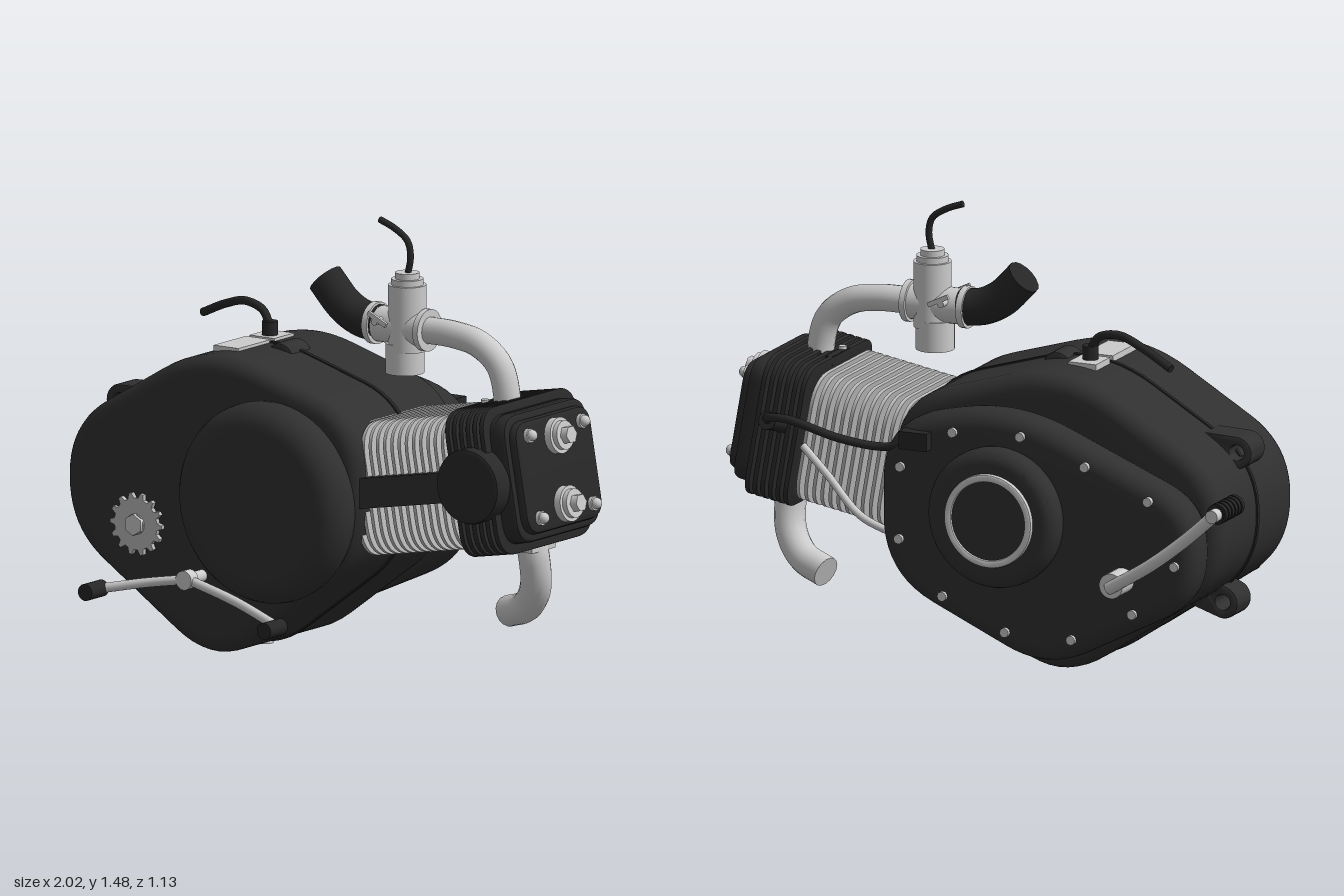
import * as THREE from 'three';
import { toCreasedNormals, mergeGeometries } from 'three/addons/utils/BufferGeometryUtils.js';

const V = (p) => new THREE.Vector3(...p);

// Polygon with rounded corners, points are [x, y, cornerLength]
function roundedShape(pts) {
  const s = new THREE.Shape();
  pts.forEach(([x, y, r], i) => {
    const c = new THREE.Vector2(x, y);
    const toward = (q) => c.clone().add(new THREE.Vector2(q[0], q[1]).sub(c).setLength(r));
    const a = toward(pts[(i + pts.length - 1) % pts.length]);
    const b = toward(pts[(i + 1) % pts.length]);
    if (i) s.lineTo(a.x, a.y); else s.moveTo(a.x, a.y);
    s.quadraticCurveTo(x, y, b.x, b.y);
  });
  s.closePath();
  return s;
}
const box2 = (w, h, r) => roundedShape([[-w, -h, r], [w, -h, r], [w, h, r], [-w, h, r]]);
function disc(r, x = 0, y = 0) {
  const s = new THREE.Shape();
  s.absarc(x, y, r, 0, Math.PI * 2);
  return s;
}
// Extrusion from z0 to z1 whose rounded edge stays inside the outline
function slabGeo(shape, z0, z1, bevel, seg = 10) {
  const g = new THREE.ExtrudeGeometry(shape, {
    depth: z1 - z0 - 2 * bevel, bevelEnabled: bevel > 0, bevelSize: bevel, bevelThickness: bevel,
    bevelOffset: -bevel, bevelSegments: bevel > 0.03 ? 6 : 2, curveSegments: seg,
  });
  g.translate(0, 0, z0 + bevel);
  return toCreasedNormals(g, 0.6);
}
// Tube along a smooth path with closed ends
function tubeGeo(points, r, seg = 28) {
  const curve = new THREE.CatmullRomCurve3(points.map(V));
  const parts = [new THREE.TubeGeometry(curve, seg, r, 16)];
  [0, 1].forEach((t) => {
    const dir = curve.getTangent(t).multiplyScalar(t ? 1 : -1);
    const cap = new THREE.CircleGeometry(r, 16);
    cap.applyQuaternion(new THREE.Quaternion().setFromUnitVectors(V([0, 0, 1]), dir));
    const p = curve.getPoint(t);
    parts.push(cap.translate(p.x, p.y, p.z));
  });
  return mergeGeometries(parts);
}

export function createModel() {
  const root = new THREE.Group();
  root.name = 'engine';
  const mat = (name, color) => Object.assign(new THREE.MeshStandardMaterial({ color }), { name });
  const paint = mat('dark casing', 0x303030);
  const black = mat('black head', 0x292929);
  const rubber = mat('rubber', 0x262626);
  const metal = mat('light metal', 0xcccccc);
  const finMetal = mat('fin metal', 0xbababa);

  const add = (name, geo, m, parent = root) => {
    const mesh = new THREE.Mesh(geo, m);
    mesh.name = name;
    parent.add(mesh);
    return mesh;
  };
  const slab = (name, shape, z0, z1, bevel, m, parent, seg) => add(name, slabGeo(shape, z0, z1, bevel, seg), m, parent);
  const tube = (name, pts, r, m, parent) => add(name, tubeGeo(pts, r), m, parent);
  const cyl = (name, r, len, axis, [x, y, z], m, parent, sides = 24) => {
    const g = new THREE.CylinderGeometry(r, r, len, sides);
    if (axis === 'x') g.rotateZ(-Math.PI / 2);
    if (axis === 'z') g.rotateX(Math.PI / 2);
    return add(name, g.translate(x, y, z), m, parent);
  };
  const box = (name, w, h, d, [x, y, z], m, parent) =>
    add(name, new THREE.BoxGeometry(w, h, d).translate(x, y, z), m, parent);

  // Crankcase and the seam around its middle
  const casePts = [[-0.86, 0.36, 0.17], [-0.26, -0.045, 0.2], [0.325, 0.39, 0.2],
    [0.325, 0.86, 0.2], [-0.3, 1.045, 0.22], [-0.86, 0.71, 0.17]];
  slab('crankcase', roundedShape(casePts), -0.28, 0.31, 0.055, paint);
  const seamPts = casePts.map(([x, y, r]) => [-0.27 + (x + 0.27) * 1.01, 0.52 + (y - 0.52) * 1.01, r]);
  slab('caseSeam', roundedShape(seamPts), 0.003, 0.017, 0, rubber);
  cyl('drainPlug', 0.026, 0.035, 'y', [-0.26, 0.0175, 0.01], metal, root, 6);

  // Round clutch cover on the front
  slab('clutchCover', disc(0.335, -0.02, 0.552), 0.25, 0.42, 0.085, paint, root, 56);

  // Rear side cover with its bolts
  const coverPts = [[0.31, 0.3, 0.2], [0.31, 0.82, 0.2], [-0.15, 0.92, 0.2], [-0.83, 0.64, 0.15],
    [-0.83, 0.32, 0.15], [-0.28, 0.035, 0.16]];
  slab('sideCover', roundedShape(coverPts), -0.41, -0.265, 0.055, paint);
  const boltPts = coverPts.map(([x, y, r]) => [-0.26 + (x + 0.26) * 0.88, 0.49 + (y - 0.49) * 0.85, r * 0.9]);
  roundedShape(boltPts).getSpacedPoints(11).slice(0, 11).forEach((p) =>
    cyl('coverBolt', 0.016, 0.025, 'z', [p.x, p.y, -0.41], metal, root, 12));

  // Generator housing with bright ring
  slab('generatorHousing', disc(0.235, -0.125, 0.55), -0.485, -0.38, 0.045, paint, root, 48);
  const ring = disc(0.157, -0.125, 0.55);
  ring.holes.push(disc(0.132, -0.125, 0.55));
  slab('generatorRing', ring, -0.5, -0.47, 0.006, metal, root, 48);
  cyl('generatorCap', 0.133, 0.02, 'z', [-0.125, 0.55, -0.482], paint, root, 48);

  // Mounting lugs
  const lug = (x, y, angle) => {
    const s = new THREE.Shape();
    s.moveTo(0.15, 0.06);
    s.lineTo(0, 0.055);
    s.absarc(0, 0, 0.055, Math.PI / 2, Math.PI * 1.5);
    s.lineTo(0.15, -0.06);
    s.closePath();
    s.holes.push(disc(0.025));
    const m = slab('mountingLug', s, -0.045, 0.065, 0.008, paint);
    m.position.set(x, y, 0);
    m.rotation.z = angle;
  };
  lug(-0.81, 0.75, 0);
  lug(-0.76, 0.24, 0.35);
  lug(-0.165, 0.965, -Math.PI / 2);

  // Breather plate and hose on top of the case
  box('breatherPlate', 0.1, 0.03, 0.18, [-0.29, 0.999, 0.1], metal);
  box('breatherPlate', 0.1, 0.03, 0.11, [-0.29, 0.999, -0.065], metal);
  cyl('breatherBase', 0.026, 0.06, 'y', [-0.29, 1.03, -0.055], rubber);
  tube('breatherHose', [[-0.29, 1.04, -0.055], [-0.32, 1.09, -0.06], [-0.4, 1.11, -0.075],
    [-0.5, 1.085, -0.105], [-0.62, 1.035, -0.14]], 0.014, rubber);

  // Drive sprocket
  const gear = new THREE.Shape();
  for (let i = 0; i < 14; i++) {
    [[-0.3, 0.086], [-0.13, 0.104], [0.13, 0.104], [0.3, 0.086]].forEach(([o, r], k) => {
      const a = ((i + o) / 14) * Math.PI * 2;
      gear[i || k ? 'lineTo' : 'moveTo'](-0.55 + r * Math.cos(a), 0.415 + r * Math.sin(a));
    });
  }
  gear.closePath();
  slab('sprocket', gear, 0.318, 0.335, 0, finMetal);
  cyl('sprocketShaft', 0.035, 0.06, 'z', [-0.55, 0.415, 0.31], metal);
  cyl('sprocketNut', 0.036, 0.02, 'z', [-0.55, 0.415, 0.342], metal, root, 6);

  // Gear shift pedal
  cyl('shiftShaft', 0.02, 0.16, 'z', [-0.3, 0.27, 0.33], metal);
  cyl('shiftHub', 0.032, 0.04, 'z', [-0.3, 0.27, 0.395], metal);
  [[-0.59, 0.22], [0.13, 0.177]].forEach(([x, y]) => {
    tube('shiftArm', [[-0.3, 0.27, 0.39], [-0.3 + (x + 0.3) * 0.5, 0.27 + (y - 0.27) * 0.45, 0.425],
      [x, y, 0.48]], 0.016, metal);
    cyl('shiftPeg', 0.028, 0.095, 'z', [x, y, 0.515], rubber);
  });

  // Kick starter
  cyl('kickHub', 0.042, 0.12, 'z', [-0.57, 0.38, -0.44], metal);
  tube('kickArm', [[-0.56, 0.37, -0.495], [-0.72, 0.47, -0.525], [-0.85, 0.57, -0.535],
    [-0.962, 0.67, -0.54]], 0.021, metal);
  cyl('kickEnd', 0.022, 0.05, 'z', [-0.965, 0.672, -0.545], metal);
  for (let i = 0; i < 6; i++) cyl('kickPegRib', 0.035, 0.017, 'z', [-0.965, 0.672, -0.395 - i * 0.025], rubber);
  cyl('kickPeg', 0.028, 0.145, 'z', [-0.965, 0.672, -0.46], rubber);

  // Tilted cylinder and head: local x runs along the bore
  const barrel = new THREE.Group();
  barrel.name = 'cylinderAssembly';
  barrel.position.set(0.3, 0.61, 0.01);
  barrel.rotation.z = 0.175;
  root.add(barrel);
  const plate = (name, zHalf, vHalf, corner, u0, u1, bevel, m) =>
    add(name, slabGeo(box2(zHalf, vHalf, corner), u0, u1, bevel).rotateY(Math.PI / 2), m, barrel);
  plate('cylinderCore', 0.17, 0.155, 0.1, -0.15, 0.4, 0, finMetal);
  for (let i = 0; i < 14; i++) plate('cylinderFin', 0.25, 0.222, 0.11, -0.03 + i * 0.0295, -0.018 + i * 0.0295, 0, finMetal);
  box('chainTunnel', 0.5, 0.1, 0.14, [0.15, 0, 0.205], paint, barrel);
  plate('headCore', 0.23, 0.215, 0.08, 0.385, 0.56, 0, black);
  for (let i = 0; i < 6; i++) plate('headFin', 0.262, 0.245, 0.09, 0.385 + i * 0.028, 0.403 + i * 0.028, 0.004, black);
  plate('headCover', 0.232, 0.213, 0.08, 0.54, 0.605, 0.015, black);
  plate('headCoverFace', 0.212, 0.188, 0.07, 0.59, 0.635, 0.018, black);
  add('chainCap', slabGeo(disc(0.125, 0.472, 0), 0.18, 0.3, 0.012, 40), black, barrel);
  [-1, 1].forEach((s) => {
    cyl('valveCap', 0.06, 0.03, 'x', [0.645, s * 0.113, 0], metal, barrel);
    cyl('valveCapRim', 0.048, 0.025, 'x', [0.665, s * 0.113, 0], metal, barrel);
    cyl('valveCapNut', 0.03, 0.03, 'x', [0.688, s * 0.113, 0], metal, barrel, 6);
    [-1, 1].forEach((t) => {
      cyl('headBoltWasher', 0.024, 0.02, 'x', [0.638, s * 0.137, t * 0.147], metal, barrel, 16);
      const nut = add('headBolt', new THREE.SphereGeometry(0.019, 14, 10), metal, barrel);
      nut.position.set(0.652, s * 0.137, t * 0.147);
    });
  });

  // Intake flange, pipe and carburettor
  const carb = new THREE.Group();
  carb.name = 'intake';
  carb.position.z = 0.01;
  root.add(carb);
  box('intakeFlange', 0.12, 0.03, 0.13, [0.7, 0.905, 0], black, carb);
  for (const x of [0.655, 0.745]) cyl('flangeBolt', 0.014, 0.04, 'y', [x, 0.91, 0.045], metal, carb, 10);
  tube('intakePipe', [[0.71, 0.85, 0], [0.71, 0.95, 0], [0.68, 1.04, 0], [0.6, 1.1, 0],
    [0.5, 1.12, 0], [0.38, 1.122, 0]], 0.045, metal, carb);
  cyl('carbThroat', 0.06, 0.2, 'x', [0.3, 1.122, 0], metal, carb);
  cyl('carbFlange', 0.07, 0.02, 'x', [0.39, 1.122, 0], metal, carb);
  cyl('carbBody', 0.063, 0.22, 'y', [0.31, 1.155, 0], metal, carb);
  cyl('carbShoulder', 0.053, 0.03, 'y', [0.31, 1.27, 0], metal, carb);
  cyl('carbCap', 0.04, 0.045, 'y', [0.31, 1.283, 0], metal, carb);
  cyl('floatBowl', 0.064, 0.1, 'y', [0.3, 1.02, 0], metal, carb);
  [-1, 1].forEach((s) => {
    cyl('carbScrew', 0.012, 0.05, 'z', [0.24, 1.145, s * 0.065], metal, carb, 10);
    const lever = box('carbLever', 0.08, 0.016, 0.01, [0, 0, 0], metal, carb);
    lever.position.set(0.25, 1.155, s * 0.085);
    lever.rotation.z = -0.45;
  });
  tube('throttleCable', [[0.31, 1.29, 0], [0.323, 1.36, 0], [0.31, 1.41, 0], [0.26, 1.445, 0],
    [0.2, 1.468, 0]], 0.011, rubber, carb);
  tube('airHose', [[0.2, 1.122, 0], [0.13, 1.13, 0], [0.06, 1.165, 0], [-0.02, 1.245, 0]], 0.062, rubber, carb);
  cyl('hoseClamp', 0.07, 0.022, 'x', [0.185, 1.122, 0], metal, carb);

  // Exhaust
  box('exhaustFlange', 0.12, 0.025, 0.13, [0.8, 0.455, 0.01], metal);
  tube('exhaustPipe', [[0.8, 0.5, 0.01], [0.818, 0.41, 0.005], [0.805, 0.31, -0.02],
    [0.745, 0.235, -0.055], [0.65, 0.2, -0.085]], 0.052, metal);

  // Spark plug with lead, and the oil line beside it
  tube('sparkPlugBoot', [[0.74, 0.72, -0.22], [0.74, 0.745, -0.29], [0.735, 0.765, -0.36]], 0.03, rubber);
  tube('sparkLead', [[0.735, 0.765, -0.35], [0.71, 0.79, -0.41], [0.62, 0.8, -0.44],
    [0.45, 0.75, -0.415], [0.3, 0.73, -0.385], [0.18, 0.77, -0.41]], 0.014, rubber);
  box('leadConnector', 0.1, 0.06, 0.06, [0.17, 0.775, -0.415], rubber);
  tube('oilLine', [[0.66, 0.66, -0.24], [0.55, 0.58, -0.28], [0.42, 0.47, -0.315], [0.27, 0.42, -0.335]], 0.013, metal);

  return root;
}
